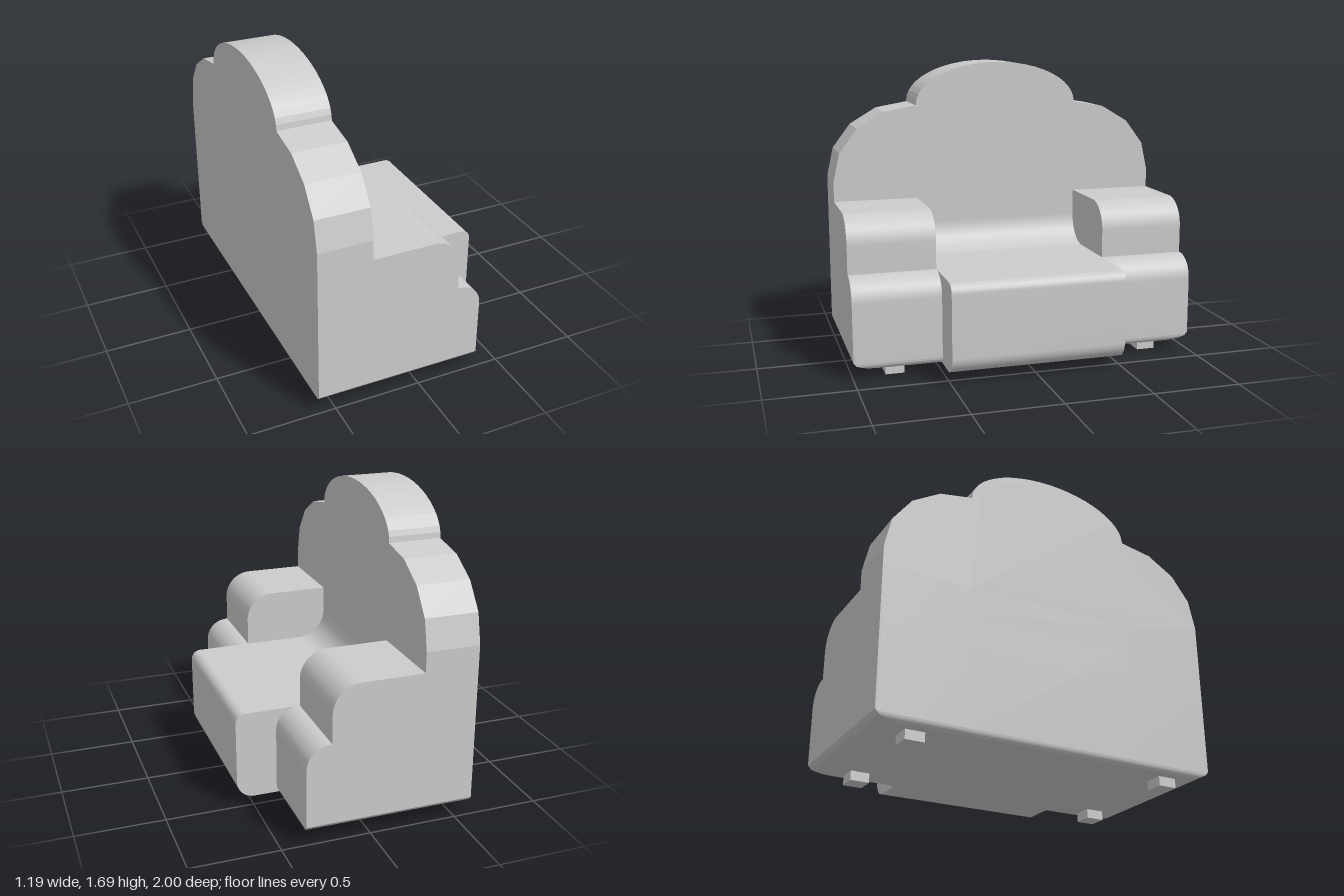
import * as THREE from 'three';
import { toCreasedNormals } from 'three/addons/utils/BufferGeometryUtils.js';

const fabric = new THREE.MeshStandardMaterial({ color: 0xcccccc });
fabric.name = 'light grey';

const BACK = -0.597, BASE = 0.053, BACK_FRONT = -0.29, HALF = 0.5;

// Extrudes a side profile (x, y) from z0 to z1, rounding the underside near the outer ends
function sideExtrusion(shape, z0, z1, steps) {
  const geo = new THREE.ExtrudeGeometry(shape, { depth: z1 - z0, steps, bevelEnabled: false, curveSegments: 10 });
  geo.translate(0, 0, z0);
  const p = geo.attributes.position;
  for (let i = 0; i < p.count; i++) {
    const t = Math.min(1, Math.max(0, (Math.abs(p.getZ(i)) - 0.8) / 0.2));
    const floor = BASE + 0.05 * (1 - Math.sqrt(1 - t * t));
    p.setY(i, Math.max(p.getY(i), floor));
  }
  return toCreasedNormals(geo, 0.6);
}

// Stepped arm outline with rounded front corners
function armShape() {
  const s = new THREE.Shape();
  s.moveTo(BACK + 0.04, BASE);
  s.lineTo(0.322, BASE);
  s.absarc(0.322, BASE + 0.04, 0.04, -Math.PI / 2, 0);
  s.lineTo(0.362, 0.435);
  s.absarc(0.232, 0.435, 0.13, 0, Math.PI / 2);
  s.lineTo(0.222, 0.565);
  s.lineTo(0.222, 0.725);
  s.absarc(0.062, 0.725, 0.16, 0, Math.PI / 2);
  s.lineTo(BACK, 0.885);
  s.lineTo(BACK, BASE + 0.04);
  s.absarc(BACK + 0.04, BASE + 0.04, 0.04, Math.PI, Math.PI * 1.5);
  return s;
}

// Seat outline, with a hollow curve sweeping up into the backrest
function seatShape() {
  const s = new THREE.Shape();
  s.moveTo(BACK + 0.04, BASE);
  s.lineTo(0.493, BASE);
  s.absarc(0.493, BASE + 0.1, 0.1, -Math.PI / 2, 0);
  s.lineTo(0.593, 0.51);
  s.absarc(0.538, 0.51, 0.055, 0, Math.PI / 2);
  s.lineTo(BACK_FRONT + 0.17, 0.565);
  s.absarc(BACK_FRONT + 0.17, 0.735, 0.17, Math.PI * 1.5, Math.PI, true);
  s.lineTo(BACK, 0.735);
  s.lineTo(BACK, BASE + 0.04);
  s.absarc(BACK + 0.04, BASE + 0.04, 0.04, Math.PI, Math.PI * 1.5);
  return s;
}

// Backrest outline: faceted shoulders and a domed crown
function backShape() {
  const pts = [[-HALF, 0.735], [HALF, 0.735], [HALF, 0.885], [1, 0.885]];
  const arc = (cx, cy, rx, ry, a0, a1, n) => {
    for (let i = 0; i <= n; i++) {
      const a = a0 + (a1 - a0) * i / n;
      pts.push([cx + rx * Math.cos(a), cy + ry * Math.sin(a)]);
    }
  };
  arc(0.5, 1, 0.5, 0.444, 0, Math.PI / 2, 4);
  arc(0, 1.446, 0.499, 0.248, 0, Math.PI, 24);
  arc(-0.5, 1, 0.5, 0.444, Math.PI / 2, Math.PI, 4);
  pts.push([-1, 0.885], [-HALF, 0.885]);
  return new THREE.Shape(pts.map(([x, y]) => new THREE.Vector2(x, y)));
}

export function createModel() {
  const sofa = new THREE.Group();
  sofa.name = 'sofa';
  const add = (name, geo) => {
    const mesh = new THREE.Mesh(geo, fabric);
    mesh.name = name;
    sofa.add(mesh);
    return mesh;
  };

  add('seat', sideExtrusion(seatShape(), -HALF, HALF, 1));
  add('armNear', sideExtrusion(armShape(), HALF, 1, 30));
  add('armFar', sideExtrusion(armShape(), -1, -HALF, 30));

  // Backrest, turned so its outline faces along x
  const back = new THREE.ExtrudeGeometry(backShape(), { depth: BACK_FRONT - BACK, bevelEnabled: false });
  back.rotateY(Math.PI / 2);
  back.translate(BACK, 0, 0);
  add('backrest', back);

  // Four short feet
  for (const x of [-0.478, 0.243]) {
    for (const z of [-0.76, 0.76]) {
      add('foot', new THREE.BoxGeometry(0.11, 0.08, 0.108)).position.set(x, 0.04, z);
    }
  }
  return sofa;
}
